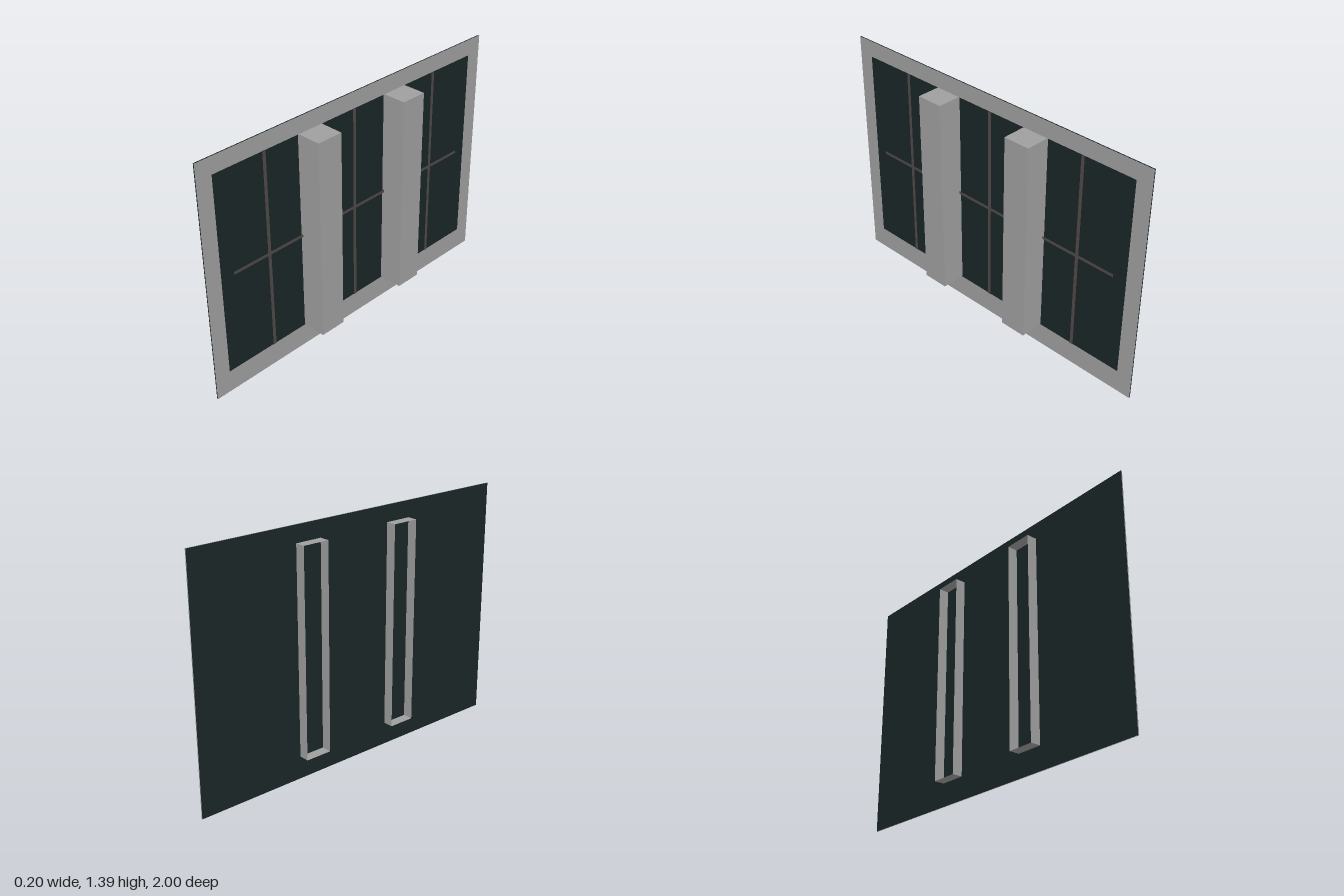
import * as THREE from 'three';

const W = 2, H = 1.386;            // overall panel
const Y0 = 0.13, Y1 = 1.292;       // glazed opening
const OPEN = 0.91;                 // half width of the opening
const GLASS_X = -0.041;            // the panel sits behind the pillar centres

export function createModel() {
  const stone = new THREE.MeshStandardMaterial({ color: 0x9f9f9f, side: THREE.DoubleSide });
  stone.name = 'grey stone';
  const glass = new THREE.MeshStandardMaterial({ color: 0x1a2626, side: THREE.DoubleSide });
  glass.name = 'dark glass';
  const metal = new THREE.MeshStandardMaterial({ color: 0x4f4848, side: THREE.DoubleSide });
  metal.name = 'brown metal';

  const model = new THREE.Group();
  model.name = 'windowPanel';

  function add(name, geometry, material, x, y, z) {
    const mesh = new THREE.Mesh(geometry, material);
    mesh.name = name;
    mesh.position.set(x, y, z);
    model.add(mesh);
  }
  // flat sheet facing +x, sized along z and y
  const sheet = (depth, height) => new THREE.PlaneGeometry(depth, height).rotateY(Math.PI / 2);

  // dark sheet across the whole panel
  add('glassSheet', sheet(W, H), glass, GLASS_X, H / 2, 0);

  // flat surround with a rectangular opening
  const outline = new THREE.Shape([[-1, 0], [1, 0], [1, H], [-1, H]].map(p => new THREE.Vector2(...p)));
  outline.holes.push(new THREE.Path(
    [[-OPEN, Y0], [-OPEN, Y1], [OPEN, Y1], [OPEN, Y0]].map(p => new THREE.Vector2(...p))));
  add('surround', new THREE.ShapeGeometry(outline).rotateY(Math.PI / 2), stone, GLASS_X + 0.006, 0, 0);

  // glazing bars: one upright per bay and one long crossbar
  for (const z of [-0.604, 0, 0.604]) {
    add('uprightBar', sheet(0.02, Y1 - Y0), metal, GLASS_X + 0.01, (Y0 + Y1) / 2, z);
  }
  add('crossBar', sheet(1.67, 0.018), metal, GLASS_X + 0.012, 0.711, 0);

  // hollow pillars through the panel, open on the -x side
  for (const z of [-0.302, 0.302]) {
    const box = new THREE.BoxGeometry(0.2, Y1 - Y0, 0.154);
    const index = Array.from(box.index.array);
    index.splice(6, 6); // drop the -x face
    box.setIndex(index);
    box.clearGroups();
    add('pillar', box, stone, 0, (Y0 + Y1) / 2, z);
  }
  return model;
}
